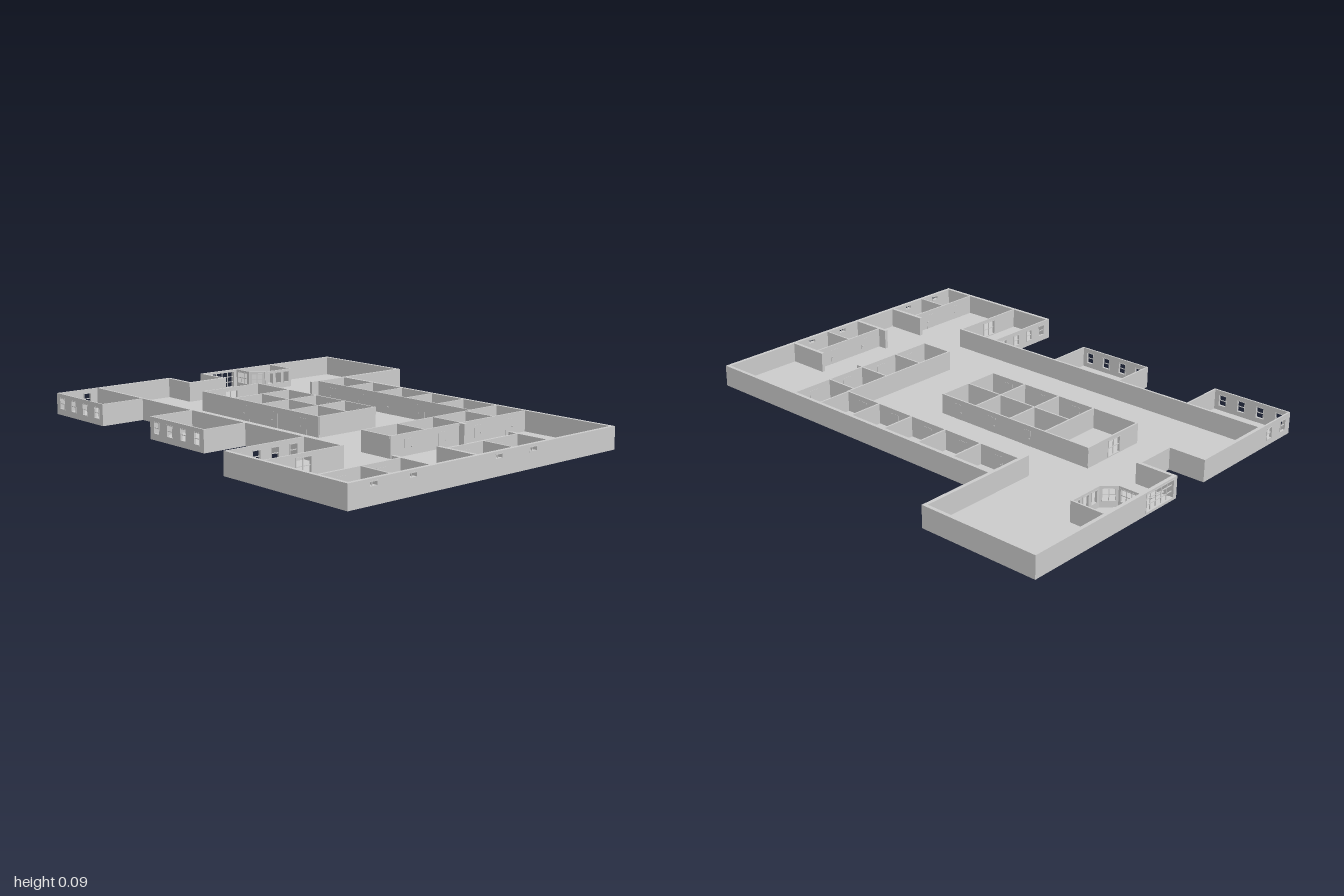
import * as THREE from 'three';

const FLOOR = 0.006, TOP = 0.09, OUT = 0.015, THIN = 0.007;

export function createModel() {
  const model = new THREE.Group();
  const grey = new THREE.MeshStandardMaterial({ color: 0xcccccc });

  const add = (name, geometry, parent = model) => {
    const mesh = new THREE.Mesh(geometry, grey);
    mesh.name = name;
    parent.add(mesh);
    return mesh;
  };
  const bar = (parent, w, h, d, x, y) =>
    add('frameBar', new THREE.BoxGeometry(w, h, d), parent).position.set(x, y, 0);

  // Wall on a centre line; holes are { at, w, y0, y1, cols, rows } along its length
  function wall(name, x0, z0, x1, z1, t, holes = []) {
    const group = new THREE.Group();
    group.name = name;
    group.position.set(x0, 0, z0);
    group.rotation.y = -Math.atan2(z1 - z0, x1 - x0);
    const len = Math.hypot(x1 - x0, z1 - z0);
    const shape = new THREE.Shape([[0, FLOOR], [len, FLOOR], [len, TOP], [0, TOP]].map(p => new THREE.Vector2(...p)));
    for (const { at, w, y0, y1, cols = 1, rows = 1 } of holes) {
      const l = at - w / 2, r = at + w / 2;
      shape.holes.push(new THREE.Path([[l, y0], [l, y1], [r, y1], [r, y0]].map(p => new THREE.Vector2(...p))));
      const b = 0.003, d = t + 0.003;
      for (let i = 0; i <= cols; i++) bar(group, b, y1 - y0 + b, i % cols ? b : d, l + w * i / cols, (y0 + y1) / 2);
      for (let i = 0; i <= rows; i++) bar(group, w, b, i % rows ? b : d, at, y0 + (y1 - y0) * i / rows);
    }
    const geometry = new THREE.ExtrudeGeometry(shape, { depth: t, bevelEnabled: false });
    add(name + 'Panel', geometry.translate(0, 0, -t / 2), group);
    model.add(group);
  }

  // Axis-aligned wall from its footprint; hole positions are in world coordinates
  function block(name, x0, z0, x1, z1, holes = []) {
    const alongX = x1 - x0 > z1 - z0, s = alongX ? x0 : z0;
    const local = holes.map(h => ({ ...h, at: h.at - s }));
    if (alongX) wall(name, x0, (z0 + z1) / 2, x1, (z0 + z1) / 2, z1 - z0, local);
    else wall(name, (x0 + x1) / 2, z0, (x0 + x1) / 2, z1, x1 - x0, local);
  }
  const xWall = (name, x0, x1, z, holes, t = THIN) => block(name, x0, z - t / 2, x1, z + t / 2, holes);
  const zWall = (name, x, z0, z1, holes, t = THIN) => block(name, x - t / 2, z0, x + t / 2, z1, holes);
  const windows = (centres, w = 0.035, y0 = 0.025, y1 = 0.072) => centres.map(at => ({ at, w, y0, y1, rows: 2 }));

  // Flush door with a handle on each side
  function door(x, z, alongX) {
    const group = new THREE.Group();
    group.name = 'door';
    add('doorLeaf', new THREE.BoxGeometry(0.042, 0.064, THIN + 0.002), group).position.y = FLOOR + 0.032;
    add('doorHandle', new THREE.BoxGeometry(0.006, 0.004, THIN + 0.009), group).position.set(0.015, 0.037, 0);
    group.position.set(x, 0, z);
    if (!alongX) group.rotation.y = Math.PI / 2;
    model.add(group);
  }

  // Floor slab
  const outline = [
    [-0.68, -1], [-0.1, -1], [-0.1, -0.845], [0.07, -0.845], [0.07, -1], [0.84, -1], [0.84, -0.49],
    [0.505, -0.49], [0.505, 1], [-0.845, 1], [-0.845, 0.365], [-0.485, 0.365], [-0.485, 0.03],
    [-0.68, 0.03], [-0.68, -0.315], [-0.485, -0.315], [-0.485, -0.65], [-0.68, -0.65],
  ].map(p => new THREE.Vector2(...p));
  const slab = new THREE.ExtrudeGeometry(new THREE.Shape(outline), { depth: FLOOR, bevelEnabled: false });
  add('floor', slab.rotateX(Math.PI / 2).translate(0, FLOOR, 0));

  // Outer walls
  block('backWallRight', -0.485, -1, -0.1, -1 + OUT);
  block('notchRightWall', -0.1 - OUT, -1, -0.1, -0.845 + OUT);
  block('notchInnerWall', -0.1 - OUT, -0.845, 0.07 + OUT, -0.845 + OUT);
  block('notchLeftWall', 0.07, -1, 0.07 + OUT, -0.845 + OUT);
  block('entranceWall', 0.07, -1, 0.84, -1 + OUT,
    [{ at: 0.17, w: 0.16, y0: 0.01, y1: 0.082, cols: 5, rows: 3 }]);
  block('hallLeftWall', 0.84 - OUT, -1, 0.84, -0.49);
  block('hallFrontWall', 0.3, -0.49 - OUT, 0.84, -0.49);
  block('leftWall', 0.505 - OUT, -0.49, 0.505, 1);
  block('frontWall', -0.845, 1 - OUT, 0.505, 1,
    [-0.735, -0.557, -0.14, 0.04].map(at => ({ at, w: 0.036, y0: 0.063, y1: 0.08, cols: 2 })));
  block('rightWall', -0.845, 0.365, -0.845 + OUT, 1);
  block('mainRightWall', -0.485, -1, -0.475, 0.57);

  // Entrance door pull bar
  add('entrancePull', new THREE.BoxGeometry(0.07, 0.004, 0.008)).position.set(0.16, 0.04, -0.98);

  // Right-hand wings with window rows
  for (const [z0, z1, back] of [[-1, -0.65, [-0.63, -0.535]], [-0.315, 0.03, []]]) {
    const centres = [0, 1, 2, 3].map(i => z0 + (z1 - z0) * (i + 0.5) / 4);
    zWall('wingWindowWall', -0.68 + THIN / 2, z0, z1, windows(centres));
    xWall('wingBackWall', -0.68, -0.48, z0 + THIN / 2, windows(back));
    xWall('wingFrontWall', -0.68, -0.48, z1 - THIN / 2);
  }

  // Bay room with a row of windows and double doors
  const doubleDoor = at => [{ at, w: 0.07, y0: 0.01, y1: 0.075, cols: 2, rows: 2 }];
  xWall('bayWindowWall', -0.845, -0.475, 0.365 + THIN / 2, windows([-0.79, -0.705, -0.62, -0.535]));
  xWall('bayFrontWall', -0.83, -0.475, 0.57, doubleDoor(-0.66));

  // Central block: one wide room and six cells
  xWall('centralBackWall', -0.198, 0.105, -0.622, doubleDoor(-0.05));
  for (const x of [-0.195, 0.102]) zWall('centralSideWall', x, -0.625, 0.123);
  zWall('centralSpine', -0.045, -0.41, 0.12);
  for (const z of [-0.412, -0.235, -0.056, 0.12]) xWall('centralCrossWall', -0.195, 0.102, z);
  for (const z of [-0.325, -0.145, 0.032]) for (const x of [-0.195, 0.102]) door(x, z, false);

  // Row of rooms along the left wall
  zWall('sideRoomsWall', 0.342, -0.49, 0.42);
  for (let i = 0; i < 5; i++) {
    const z = -0.305 + i * 0.181;
    xWall('sideRoomDivider', 0.342, 0.495, z);
    door(0.342, z - 0.09, false);
  }

  // Row of rooms facing the front corridor
  xWall('corridorRoomsBack', -0.248, 0.345, 0.422);
  xWall('corridorRoomsFront', -0.248, 0.495, 0.57);
  for (const x of [-0.245, -0.067, 0.127, 0.308]) {
    zWall('corridorRoomDivider', x, 0.422, 0.57);
    door(x + 0.09, 0.57, true);
  }
  zWall('corridorPier', 0.12, 0.57, 0.6, [], OUT);

  // Two pairs of small rooms against the front wall
  for (const [x0, x1, mid] of [[-0.83, -0.468, -0.648], [-0.235, 0.128, -0.055]]) {
    xWall('frontRoomsWall', x0, x1, 0.847);
    zWall('frontRoomDivider', mid, 0.847, 0.99);
    for (const x of [(x0 + mid) / 2, (x1 + mid) / 2]) door(x, 0.847, true);
  }
  for (const x of [-0.46, -0.24, 0.135]) zWall('frontPartition', x, 0.805, 0.99, [], OUT);

  // Glazed reception booth with a cut corner
  const glazed = { y0: 0.03, y1: 0.08 };
  zWall('boothSideWall', 0.27, -0.99, -0.895, [{ ...glazed, at: -0.94, w: 0.07, cols: 3, rows: 2 }]);
  wall('boothCornerWall', 0.27, -0.895, 0.32, -0.845, THIN, [{ ...glazed, at: 0.035, w: 0.05, cols: 2, rows: 2 }]);
  xWall('boothFrontWall', 0.32, 0.473, -0.845, [0.35, 0.397, 0.444].map(at => ({ ...glazed, at, w: 0.032 })));
  zWall('boothEndWall', 0.47, -0.99, -0.845);

  return model;
}
